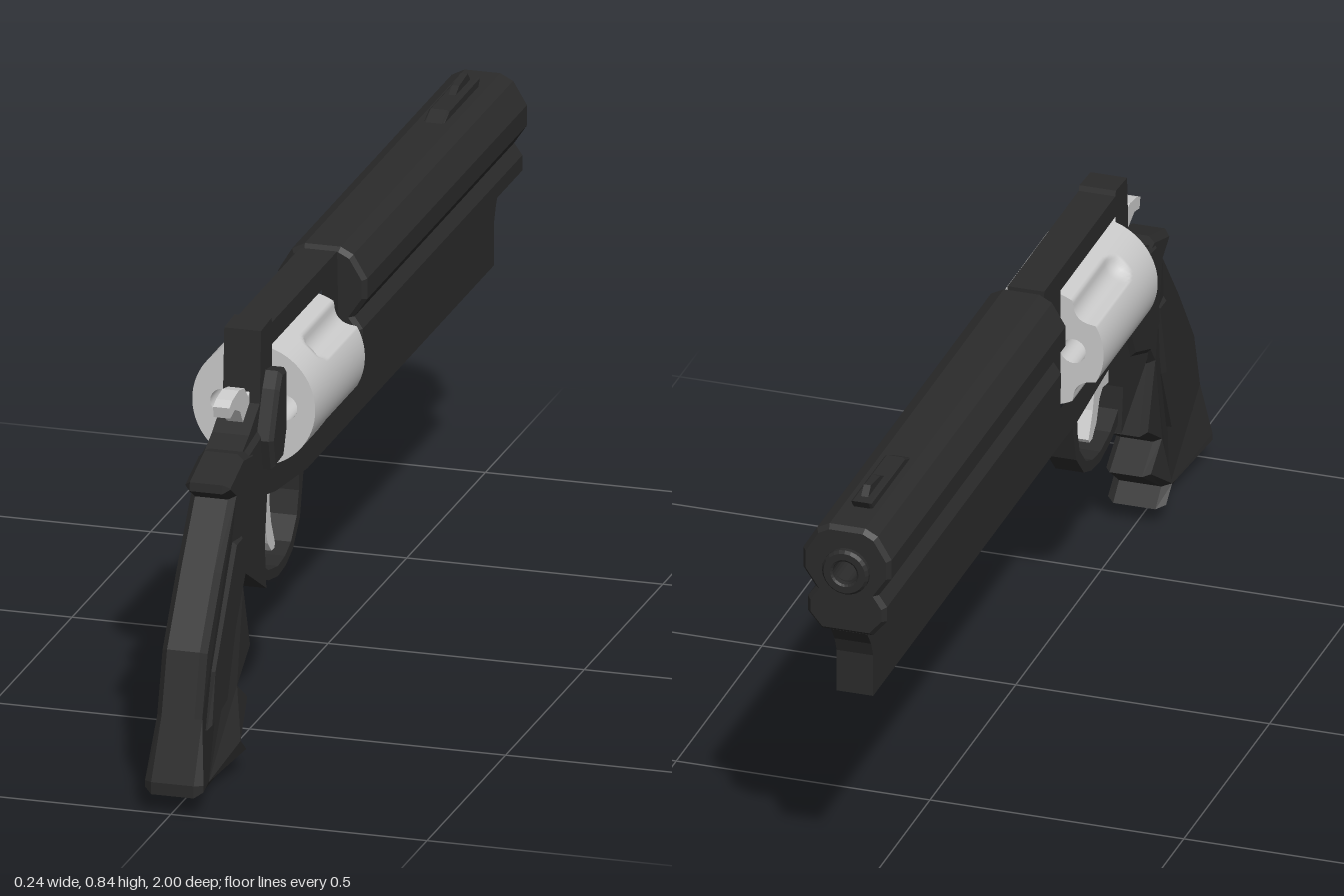
import * as THREE from 'three';

const dark = new THREE.MeshStandardMaterial({ color: 0x2b2b2b });
dark.name = 'blackenedMetal';
const steel = new THREE.MeshStandardMaterial({ color: 0xcccccc, side: THREE.DoubleSide });
steel.name = 'brightSteel';

const toShape = (pts) => new THREE.Shape(pts.map(([a, b]) => new THREE.Vector2(a, b)));

function circleHole(x, y, r) {
  const p = new THREE.Path();
  p.absarc(x, y, r, 0, Math.PI * 2, true);
  return p;
}

function add(group, name, geometry, material) {
  const mesh = new THREE.Mesh(geometry, material);
  mesh.name = name;
  group.add(mesh);
  return mesh;
}

// Side outline given as [z, y], extruded across x and centred
function sideProfile(pts, half, bevel = 0, hole = null) {
  const shape = toShape(pts);
  if (hole) shape.holes.push(new THREE.Path(hole.map(([a, b]) => new THREE.Vector2(a, b))));
  const depth = 2 * (half - bevel);
  const geo = new THREE.ExtrudeGeometry(shape, {
    depth, bevelEnabled: bevel > 0, bevelThickness: bevel, bevelSize: bevel,
    bevelOffset: -bevel, bevelSegments: 1,
  });
  geo.translate(0, 0, -depth / 2);
  geo.rotateY(-Math.PI / 2);
  return geo;
}

// Cylinder drum dimensions
const R = 0.12, AXIS = 0.633, Z0 = 0.157, Z1 = 0.473;

// Drum radius with four ball-ended flutes
function drumRadius(theta, z) {
  const q = Math.PI / 2;
  const s = R * ((((theta % q) + q) % q) - q / 2);
  const a = Math.max(0, z - 0.345);
  const cut = Math.sqrt(Math.max(0, 0.034 ** 2 - s * s - a * a)) - 0.014;
  return R - Math.max(0, cut);
}

function buildDrum() {
  const drum = new THREE.Group();
  drum.name = 'cylinder';
  drum.position.y = AXIS;

  const wall = new THREE.CylinderGeometry(R, R, Z1 - Z0, 160, 36, true);
  wall.rotateX(Math.PI / 2);
  wall.translate(0, 0, (Z0 + Z1) / 2);
  const p = wall.attributes.position;
  for (let i = 0; i < p.count; i++) {
    const t = Math.atan2(p.getY(i), p.getX(i));
    const r = drumRadius(t, p.getZ(i));
    p.setXY(i, r * Math.cos(t), r * Math.sin(t));
  }
  wall.computeVertexNormals();
  add(drum, 'flutedWall', wall, steel);

  // End faces, pierced by the chambers
  const chambers = [0, 1, 2, 3].map((k) => [0.06 * Math.cos(k * Math.PI / 2), 0.06 * Math.sin(k * Math.PI / 2)]);
  for (const [name, z] of [['frontFace', Z0], ['rearFace', Z1]]) {
    const pts = [];
    for (let i = 0; i < 160; i++) {
      const t = (i / 160) * Math.PI * 2;
      const r = drumRadius(t, z);
      pts.push([r * Math.cos(t), r * Math.sin(t)]);
    }
    const shape = toShape(pts);
    chambers.forEach(([x, y]) => shape.holes.push(circleHole(x, y, 0.025)));
    const face = new THREE.ShapeGeometry(shape, 16);
    if (z === Z0) { // turn the front face toward the muzzle
      face.rotateY(Math.PI);
    }
    face.translate(0, 0, z);
    add(drum, name, face, steel);
  }
  chambers.forEach(([x, y]) => {
    const tube = new THREE.CylinderGeometry(0.025, 0.025, Z1 - Z0, 24, 1, true);
    tube.rotateX(Math.PI / 2);
    tube.translate(x, y, (Z0 + Z1) / 2);
    add(drum, 'chamber', tube, steel);
  });
  return drum;
}

function buildBarrel() {
  const barrel = new THREE.Group();
  barrel.name = 'barrel';
  // Half section: faceted upper lobe, waist, lower lobe
  const half = [[0.035, 0.803], [0.06, 0.79], [0.087, 0.745], [0.087, 0.705], [0.062, 0.668],
    [0.078, 0.645], [0.078, 0.615], [0.05, 0.582]];
  const shape = toShape([...half, ...half.slice().reverse().map(([x, y]) => [-x, y])]);
  shape.holes.push(circleHole(0, 0.715, 0.03));
  const body = new THREE.ExtrudeGeometry(shape, {
    depth: 1.015, bevelEnabled: true, bevelThickness: 0.01, bevelSize: 0.008,
    bevelOffset: -0.008, bevelSegments: 1, curveSegments: 16,
  });
  body.translate(0.002, 0, -0.975);
  add(barrel, 'barrelBody', body, dark);

  // Muzzle ring and bore
  const ring = new THREE.LatheGeometry([[0, 0.85], [0.024, 0.85], [0.024, 0.997], [0.028, 1],
    [0.041, 1], [0.046, 0.994], [0.046, 0.97]].reverse().map(([r, y]) => new THREE.Vector2(r, y)), 24);
  ring.rotateX(-Math.PI / 2);
  const muzzle = add(barrel, 'muzzle', ring.toNonIndexed(), dark.clone());
  muzzle.material = darkDouble;
  muzzle.geometry.computeVertexNormals();
  muzzle.position.y = 0.715;

  // Front sight: ramp base and thin blade
  add(barrel, 'sightBase', sideProfile([[-0.655, 0.795], [-0.705, 0.819], [-0.905, 0.819], [-0.89, 0.795]], 0.02, 0.004), dark);
  add(barrel, 'sightBlade', sideProfile([[-0.78, 0.815], [-0.811, 0.83], [-0.865, 0.836], [-0.885, 0.815]], 0.007), dark);
  return barrel;
}

const darkDouble = dark.clone();
darkDouble.name = 'blackenedMetalTwoSided';
darkDouble.side = THREE.DoubleSide;

function buildFrame() {
  const frame = new THREE.Group();
  frame.name = 'frame';
  // Frame with barrel lug and cylinder window
  add(frame, 'frameBody', sideProfile([
    [0.06, 0.8], [0.474, 0.8], [0.478, 0.81], [0.543, 0.806], [0.552, 0.665], [0.62, 0.625],
    [0.7, 0.59], [0.7, 0.45], [0.66, 0.37], [0.51, 0.286], [0.52, 0.378], [0.505, 0.47],
    [0.45, 0.458], [0.25, 0.435], [-0.938, 0.435], [-0.938, 0.52], [-0.95, 0.55],
    [-0.972, 0.58], [-0.972, 0.63], [0.05, 0.63],
  ], 0.036, 0, [[0.155, 0.51], [0.155, 0.757], [0.475, 0.757], [0.475, 0.51]]), dark);

  // Chamfered side housing behind the trigger
  add(frame, 'rearHousing', sideProfile([[0.5, 0.53], [0.56, 0.62], [0.7, 0.6], [0.72, 0.42],
    [0.66, 0.38], [0.56, 0.42]], 0.045, 0.012), dark);

  // Recoil shield on the left side only
  const shield = sideProfile([[0.477, 0.715], [0.515, 0.72], [0.535, 0.69], [0.575, 0.6],
    [0.56, 0.54], [0.5, 0.545], [0.477, 0.6]], 0.021, 0.008);
  shield.translate(0.047, 0, 0);
  add(frame, 'recoilShield', shield, dark);

  // Trigger guard
  add(frame, 'triggerGuard', sideProfile([
    [0.245, 0.44], [0.255, 0.4], [0.27, 0.345], [0.315, 0.297], [0.36, 0.28], [0.41, 0.275],
    [0.47, 0.287], [0.52, 0.305], [0.52, 0.335], [0.47, 0.307], [0.41, 0.295], [0.365, 0.3],
    [0.327, 0.315], [0.29, 0.355], [0.277, 0.4], [0.275, 0.44],
  ], 0.028), dark);
  return frame;
}

function buildGrip() {
  const grip = new THREE.Group();
  grip.name = 'grip';
  grip.position.x = 0.003;
  const body = sideProfile([
    [0.69, 0.612], [0.785, 0.582], [0.787, 0.565], [0.752, 0.543], [0.84, 0.43], [0.93, 0.3],
    [0.965, 0.18], [1, 0.06], [1, 0.036], [0.84, 0], [0.7, 0.036], [0.735, 0.067], [0.65, 0.126],
    [0.715, 0.169], [0.635, 0.217], [0.68, 0.35], [0.64, 0.4], [0.6, 0.48], [0.62, 0.6],
  ], 0.044, 0.012);
  // Flare the butt, then taper it under
  const p = body.attributes.position;
  for (let i = 0; i < p.count; i++) {
    const y = p.getY(i);
    const k = y < 0.022 ? 0.5 : y < 0.09 ? 1.3 : 1;
    p.setX(i, p.getX(i) * k);
  }
  body.computeVertexNormals();
  add(grip, 'gripBody', body, dark);
  add(grip, 'gripPanel', sideProfile([[0.7, 0.46], [0.75, 0.46], [0.89, 0.25], [0.91, 0.14],
    [0.8, 0.16], [0.74, 0.3]], 0.048, 0.008), dark);
  return grip;
}

export function createModel() {
  const model = new THREE.Group();
  model.name = 'revolver';
  model.add(buildFrame(), buildBarrel(), buildDrum(), buildGrip());

  // Hammer with a curved spur
  add(model, 'hammer', sideProfile([[0.53, 0.7], [0.56, 0.68], [0.585, 0.705], [0.62, 0.712],
    [0.66, 0.706], [0.68, 0.697], [0.675, 0.675], [0.645, 0.682], [0.612, 0.668], [0.59, 0.635],
    [0.58, 0.61], [0.53, 0.61]], 0.016), steel);

  // Curved trigger
  add(model, 'trigger', sideProfile([[0.5, 0.47], [0.415, 0.46], [0.418, 0.42], [0.408, 0.38],
    [0.383, 0.33], [0.388, 0.322], [0.405, 0.322], [0.43, 0.345], [0.447, 0.385], [0.465, 0.4],
    [0.5, 0.395]], 0.014), steel);
  return model;
}
